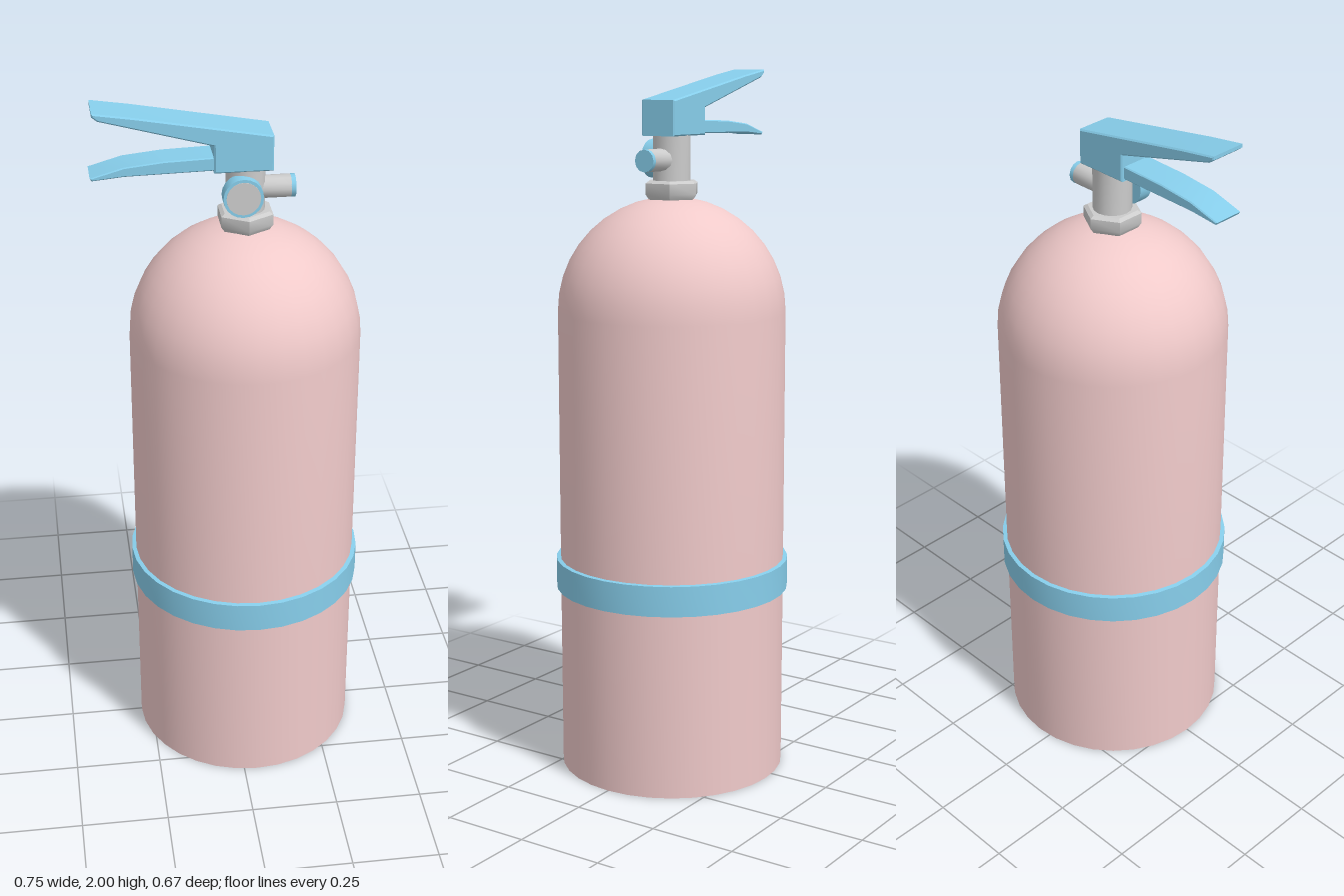
import * as THREE from 'three';
import { toCreasedNormals } from 'three/addons/utils/BufferGeometryUtils.js';

const CX = 0.04; // axis of the tank

export function createModel() {
  const group = new THREE.Group();
  const grey = new THREE.MeshStandardMaterial({ color: 0xcccccc });
  const pink = new THREE.MeshStandardMaterial({ color: 0xf0caca });
  const blue = new THREE.MeshStandardMaterial({ color: 0x87ceeb });

  const add = (name, geometry, material, x = 0, y = 0, z = 0) => {
    const mesh = new THREE.Mesh(toCreasedNormals(geometry, 0.6), material);
    mesh.name = name;
    mesh.position.set(x, y, z);
    group.add(mesh);
    return mesh;
  };
  const lathe = (points, sides) =>
    new THREE.LatheGeometry(points.map(([r, y]) => new THREE.Vector2(r, y)), sides);

  // Side profile extruded across z, with a small bevel kept inside the width
  const plate = (points, width, bevel) => {
    const shape = new THREE.Shape(points.map(([x, y]) => new THREE.Vector2(x, y)));
    const geometry = new THREE.ExtrudeGeometry(shape, {
      depth: width - 2 * bevel, bevelEnabled: true, bevelSegments: 1,
      bevelSize: bevel, bevelThickness: bevel, bevelOffset: -bevel,
    });
    return geometry.translate(0, 0, bevel - width / 2);
  };

  // Tank with a domed shoulder and flat base
  const tank = [[0, 0], [0.323, 0], [0.323, 0.55], [0.322, 1.33]];
  for (let i = 1; i <= 10; i++) {
    const a = (i / 10) * Math.PI / 2;
    tank.push([0.322 * Math.cos(a), 1.33 + 0.322 * Math.sin(a)]);
  }
  tank[tank.length - 1][0] = 0;
  add('tank', lathe(tank, 32), pink, CX);

  // Strap around the tank
  add('band', lathe([[0.318, 0.53], [0.335, 0.532], [0.335, 0.618], [0.318, 0.62]], 32), blue, CX);

  // Hexagonal collar and valve stem
  add('collar', lathe([[0, 1.64], [0.07, 1.645], [0.081, 1.66], [0.081, 1.69], [0.07, 1.697], [0, 1.697]], 6), grey, CX);
  add('valveStem', new THREE.CylinderGeometry(0.053, 0.053, 0.15, 16), grey, CX, 1.755);

  // Pressure gauge on the front
  add('gaugeBody', new THREE.CylinderGeometry(0.054, 0.054, 0.04, 20).rotateX(Math.PI / 2), blue, 0.025, 1.755, 0.057);
  add('gaugeFace', new THREE.CylinderGeometry(0.046, 0.046, 0.003, 20).rotateX(Math.PI / 2), grey, 0.025, 1.755, 0.077);

  // Outlet nozzle with a coloured end
  add('nozzle', new THREE.CylinderGeometry(0.031, 0.031, 0.1, 12).rotateZ(Math.PI / 2), grey, 0.111, 1.755);
  add('nozzleTip', new THREE.CylinderGeometry(0.031, 0.031, 0.013, 12).rotateZ(Math.PI / 2), blue, 0.1665, 1.755);

  // Squeeze lever and its head block
  add('upperLever', plate([
    [-0.05, 1.82], [0.108, 1.82], [0.108, 1.918], [-0.26, 1.984],
    [-0.365, 2], [-0.365, 1.99], [-0.35, 1.978], [-0.05, 1.896],
  ], 0.11, 0.004), blue);

  // Carrying handle, drooping at its tip
  add('lowerHandle', plate([
    [-0.03, 1.825], [-0.03, 1.862], [-0.18, 1.857], [-0.285, 1.846],
    [-0.375, 1.82], [-0.37, 1.812], [-0.285, 1.82],
  ], 0.09, 0.003), blue);

  return group;
}
